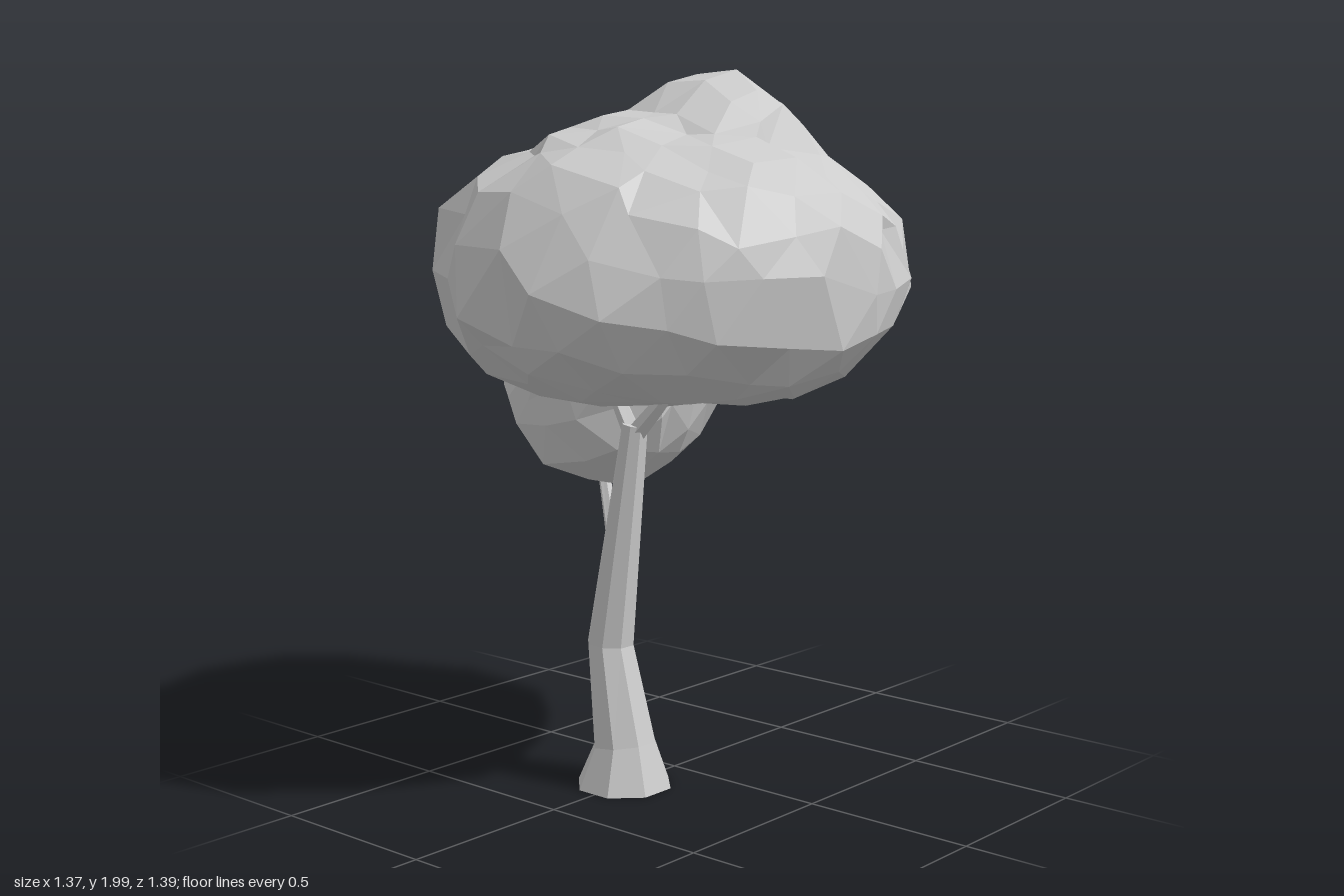
import * as THREE from 'three';

const material = new THREE.MeshStandardMaterial({
  color: 0xcccccc, flatShading: true, side: THREE.DoubleSide,
});

// Tapered limb: rings of `sides` corners along points [x, y, z, radius], capped at the far end
function limb(name, points, sides) {
  const centres = points.map(p => new THREE.Vector3(p[0], p[1], p[2]));
  const verts = [], index = [];
  points.forEach((p, i) => {
    const before = centres[Math.max(i - 1, 0)];
    const after = centres[Math.min(i + 1, centres.length - 1)];
    // The first ring of the trunk stays level with the ground
    const along = p[1] === 0 ? new THREE.Vector3(0, 1, 0) : after.clone().sub(before).normalize();
    const u = new THREE.Vector3(0, 0, 1).cross(along).normalize();
    const v = u.clone().cross(along).normalize();
    for (let s = 0; s < sides; s++) {
      const a = ((s + 0.5) / sides) * Math.PI * 2;
      const q = centres[i].clone()
        .addScaledVector(u, Math.cos(a) * p[3])
        .addScaledVector(v, Math.sin(a) * p[3]);
      verts.push(q.x, q.y, q.z);
    }
  });
  for (let i = 0; i < points.length - 1; i++) {
    for (let s = 0; s < sides; s++) {
      const a = i * sides + s, b = i * sides + (s + 1) % sides;
      index.push(a, a + sides, b, b, a + sides, b + sides);
    }
  }
  const last = (points.length - 1) * sides;
  for (let s = 1; s < sides - 1; s++) index.push(last, last + s + 1, last + s);
  const geometry = new THREE.BufferGeometry();
  geometry.setAttribute('position', new THREE.Float32BufferAttribute(verts, 3));
  geometry.setIndex(index);
  const flat = geometry.toNonIndexed();
  flat.computeVertexNormals();
  const mesh = new THREE.Mesh(flat, material);
  mesh.name = name;
  return mesh;
}

// Repeatable value in -1..1 from a direction, so shared corners move together
function jitter(d, seed) {
  const k = Math.round(d.x * 500) * 12.9898 + Math.round(d.y * 500) * 78.233
    + Math.round(d.z * 500) * 37.719 + seed * 17.17;
  const h = Math.sin(k) * 43758.5453;
  return (h - Math.floor(h)) * 2 - 1;
}

// Leaf lobes: ellipsoids with separate radii above and below the centre
const lobe = (x, y, z, rx, rz, up, down) => ({ x, y, z, rx, rz, up, down });

// Approximate signed distance to the softly blended lobes
function blendedDistance(p, lobes) {
  const k = 0.025;
  let sum = 0;
  for (const l of lobes) {
    const dy = p.y - l.y;
    const q = Math.hypot((p.x - l.x) / l.rx, dy / (dy > 0 ? l.up : l.down), (p.z - l.z) / l.rz);
    sum += Math.exp((1 - q) * Math.min(l.rx, l.rz, l.up, l.down) / k);
  }
  return -k * Math.log(sum + 1e-12);
}

// Faceted foliage shell: sphere corners moved along rays onto the blended lobes
function foliage(name, centre, lobes, detail, seed) {
  const geometry = new THREE.IcosahedronGeometry(1, detail);
  geometry.rotateY(seed * 0.9);
  geometry.rotateX(seed * 0.5);
  const pos = geometry.attributes.position;
  const origin = new THREE.Vector3(...centre);
  const d = new THREE.Vector3(), ray = new THREE.Vector3(), p = new THREE.Vector3();
  const slide = 0.34 / (detail + 1);
  for (let i = 0; i < pos.count; i++) {
    d.fromBufferAttribute(pos, i).normalize();
    ray.set(
      d.x + slide * jitter(d, seed + 1),
      d.y + slide * jitter(d, seed + 2),
      d.z + slide * jitter(d, seed + 3),
    ).normalize();
    let r = 1.1;
    do {
      r -= 0.006;
      p.copy(origin).addScaledVector(ray, r);
    } while (r > 0.1 && blendedDistance(p, lobes) > 0);
    p.addScaledVector(ray, 0.022 * jitter(d, seed + 4));
    pos.setXYZ(i, p.x, p.y, p.z);
  }
  geometry.computeVertexNormals();
  const mesh = new THREE.Mesh(geometry, material);
  mesh.name = name;
  return mesh;
}

export function createModel() {
  const tree = new THREE.Group();
  tree.name = 'tree';

  // Bent trunk with a flared foot
  tree.add(limb('trunk', [
    [-0.005, 0, 0.21, 0.138], [-0.003, 0.12, 0.21, 0.092],
    [-0.058, 0.4, 0.207, 0.068], [0.035, 1.03, 0.205, 0.037],
  ], 8));

  // Fork at the top and the long bent branch behind
  const branches = new THREE.Group();
  branches.name = 'branches';
  branches.add(
    limb('forkRight', [[0.03, 1.0, 0.205, 0.028], [-0.03, 1.09, 0.2, 0.022], [-0.12, 1.25, 0.18, 0.016]], 5),
    limb('forkLeft', [[0.035, 1.0, 0.205, 0.028], [0.12, 1.09, 0.2, 0.022], [0.22, 1.22, 0.19, 0.016]], 5),
    limb('longBranch', [
      [-0.06, 0.37, 0.2, 0.04], [-0.12, 0.425, 0.13, 0.038],
      [-0.3, 0.58, -0.08, 0.026], [-0.43, 0.87, -0.15, 0.015],
    ], 6),
  );
  tree.add(branches);

  // Crown: a broad canopy, and a side mass that hangs down over the long branch
  const upperSide = lobe(-0.33, 1.45, -0.21, 0.28, 0.35, 0.36, 0.33);
  const crown = new THREE.Group();
  crown.name = 'crown';
  crown.add(
    foliage('canopy', [0.02, 1.43, 0], [
      lobe(0.02, 1.4, 0.23, 0.53, 0.46, 0.42, 0.32), // front
      lobe(0.38, 1.38, 0.02, 0.31, 0.4, 0.37, 0.27), // left
      lobe(0.04, 1.43, -0.3, 0.49, 0.39, 0.32, 0.25), // back
      lobe(0.02, 1.62, -0.14, 0.33, 0.3, 0.37, 0.3), // top
      lobe(-0.02, 1.5, 0.04, 0.5, 0.52, 0.36, 0.3), // dome joining top and front
      lobe(-0.36, 1.46, 0.28, 0.2, 0.23, 0.28, 0.23), // front corner
      upperSide,
    ], 4, 1),
    foliage('hangingFoliage', [-0.37, 1.22, -0.15], [
      upperSide,
      lobe(-0.37, 1.24, -0.19, 0.28, 0.32, 0.34, 0.3), // neck
      lobe(-0.37, 1.05, -0.14, 0.31, 0.31, 0.34, 0.28), // low end
    ], 3, 2),
  );
  tree.add(crown);

  return tree;
}
